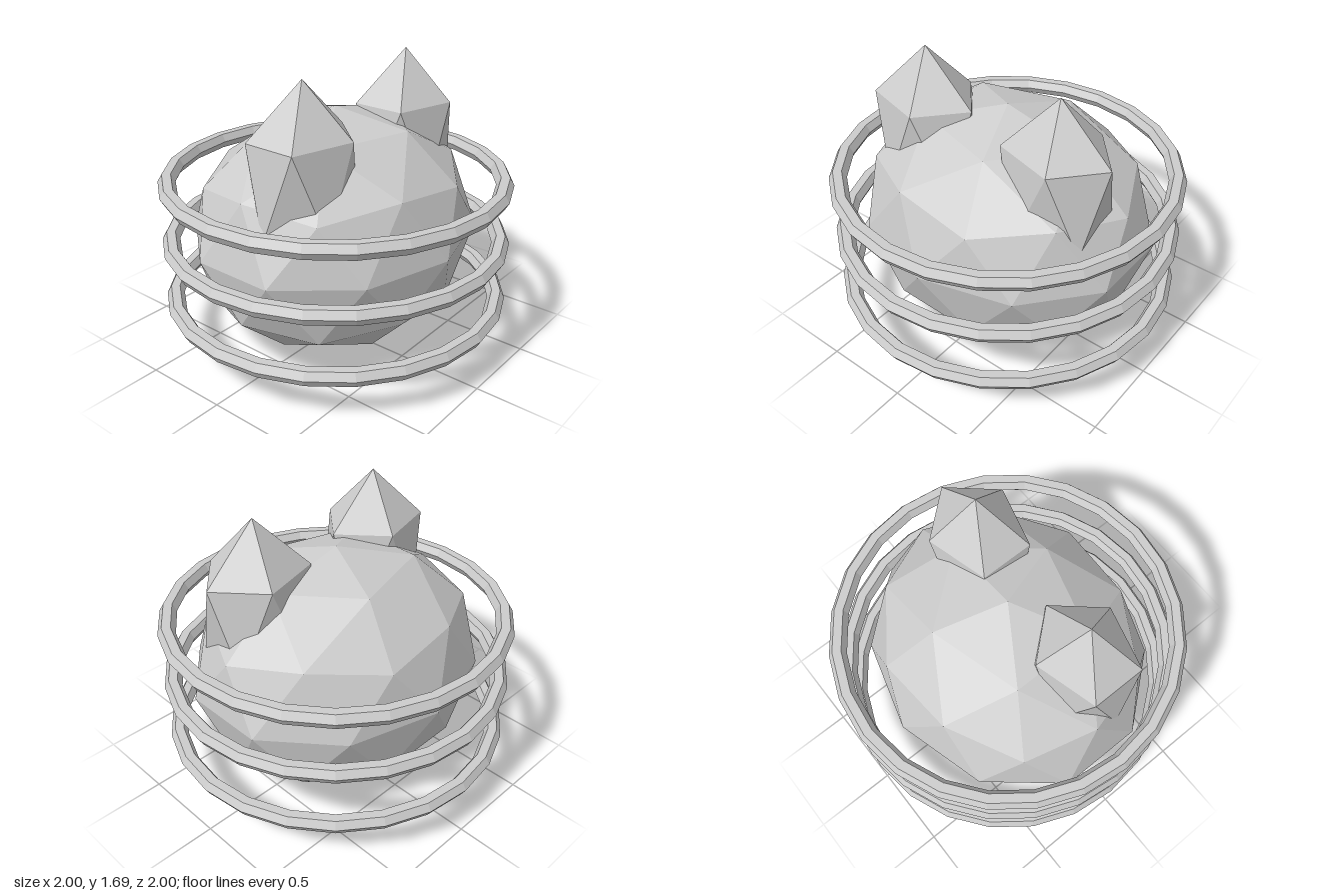
import * as THREE from 'three';

// Faceted ball built on an icosahedron that stands on one of its points
function facetedBall(rx, ry, rz, detail) {
  const v = [0, 1, 0];
  for (const [y, turn] of [[1, 0], [-1, Math.PI / 5]]) {
    for (let i = 0; i < 5; i++) {
      const a = turn + (i * Math.PI * 2) / 5;
      v.push(Math.cos(a) * 2 / Math.sqrt(5), y / Math.sqrt(5), Math.sin(a) * 2 / Math.sqrt(5));
    }
  }
  v.push(0, -1, 0);
  const f = [];
  for (let i = 0; i < 5; i++) {
    const j = (i + 1) % 5;
    const a = 1 + i, b = 1 + j, c = 6 + i, d = 6 + j;
    f.push(0, b, a, a, b, c, b, d, c, 11, c, d);
  }
  const g = new THREE.PolyhedronGeometry(v, f, 1, detail);
  g.scale(rx, ry, rz);
  g.computeVertexNormals(); // unshared corners give flat facets
  return g;
}

export function createModel() {
  const group = new THREE.Group();
  const grey = new THREE.MeshStandardMaterial({ color: 0xcccccc, flatShading: true });
  grey.name = 'light grey';

  const add = (name, geometry, x, y, z) => {
    const mesh = new THREE.Mesh(geometry, grey);
    mesh.name = name;
    mesh.position.set(x, y, z);
    group.add(mesh);
  };

  // Round body
  add('body', facetedBall(0.885, 0.71, 0.77, 1), 0, 0.712, 0);

  // Two pointed ears, both turned the same way
  const ear = facetedBall(0.353, 0.54, 0.293, 0);
  add('rightEar', ear, -0.445, 1.149, 0.15);
  add('leftEar', ear, 0.445, 1.149, 0.15);

  // Three hoops with a six-sided section
  const hoop = new THREE.TorusGeometry(0.95, 0.05, 6, 24);
  hoop.rotateX(Math.PI / 2);
  ['lowerHoop', 'middleHoop', 'upperHoop'].forEach((name, i) => add(name, hoop, 0, 0.303 + i * 0.354, 0));

  return group;
}
